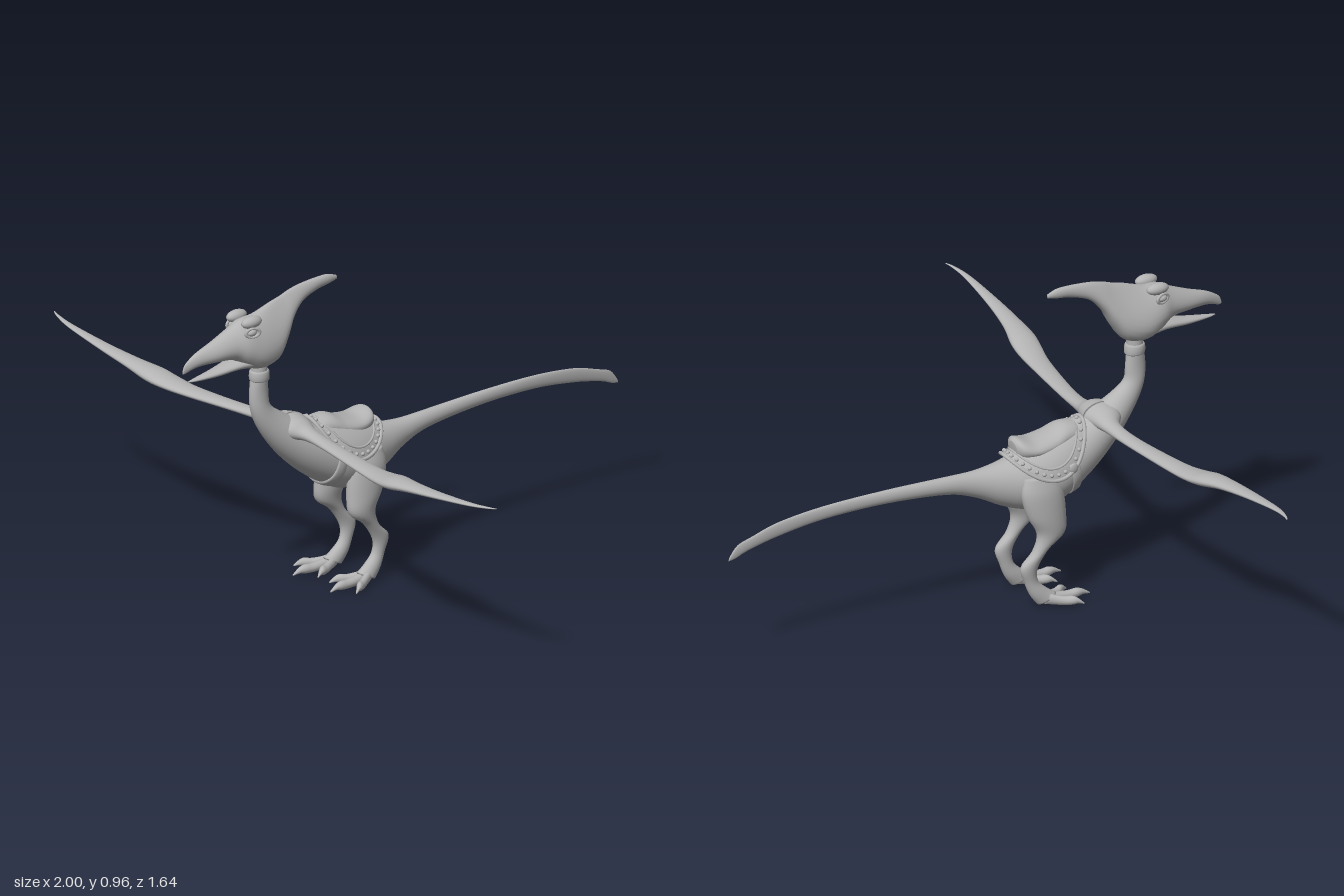
import * as THREE from 'three';
import { ParametricGeometry } from 'three/addons/geometries/ParametricGeometry.js';

const X = new THREE.Vector3(1, 0, 0), Y = new THREE.Vector3(0, 1, 0);

// Smooth skin over elliptical rings. Row: [ax,ay,az, bx,by,bz, halfWidth, taper];
// a and b are opposite points of the ring, dir is the half-width axis.
function loft(rows, dir, seg = 24, sub = 5) {
  const spline = (i, t) => rows[0].map((_, k) => {
    const p = j => rows[Math.min(Math.max(j, 0), rows.length - 1)][k];
    const v0 = (p(i + 1) - p(i - 1)) / 2, v1 = (p(i + 2) - p(i)) / 2;
    return (2 * p(i) - 2 * p(i + 1) + v0 + v1) * t ** 3 +
      (-3 * p(i) + 3 * p(i + 1) - 2 * v0 - v1) * t * t + v0 * t + p(i);
  });
  const rings = [];
  for (let i = 0; i < rows.length - 1; i++)
    for (let j = 0; j < sub; j++) rings.push(spline(i, j / sub));
  rings.push(rows[rows.length - 1]);

  const pos = [], idx = [], n = rings.length;
  const centre = r => new THREE.Vector3(r[0] + r[3], r[1] + r[4], r[2] + r[5]).multiplyScalar(0.5);
  for (const r of rings) {
    const c = centre(r), h = new THREE.Vector3(r[3], r[4], r[5]).sub(c);
    for (let k = 0; k < seg; k++) {
      const t = k / seg * Math.PI * 2;
      const w = Math.max(r[6], 0.001) * Math.sin(t) * (1 - r[7] * Math.cos(t));
      pos.push(...c.clone().addScaledVector(h, Math.cos(t)).addScaledVector(dir, w).toArray());
    }
  }
  pos.push(...centre(rings[0]).toArray(), ...centre(rings[n - 1]).toArray());
  for (let k = 0; k < seg; k++) {
    const m = (k + 1) % seg, e = (n - 1) * seg;
    for (let i = 0; i < n - 1; i++) {
      const a = i * seg + k, b = i * seg + m;
      idx.push(a, b, a + seg, b, b + seg, a + seg);
    }
    idx.push(n * seg, m, k, n * seg + 1, e + k, e + m);
  }
  // turn the faces outward
  const v = i => new THREE.Vector3().fromArray(pos, i * 3);
  let volume = 0;
  for (let i = 0; i < idx.length; i += 3) volume += v(idx[i]).dot(v(idx[i + 1]).cross(v(idx[i + 2])));
  if (volume < 0) idx.reverse();
  const g = new THREE.BufferGeometry();
  g.setAttribute('position', new THREE.Float32BufferAttribute(pos, 3));
  g.setIndex(idx);
  g.computeVertexNormals();
  return g;
}

// Rings in the side plane: [z1,y1, z2,y2, halfWidth, taper, x]
const sideRows = rows => rows.map(([z1, y1, z2, y2, w, k = 0, x = 0]) => [x, y1, z1, x, y2, z2, w, k]);

export function createModel() {
  const model = new THREE.Group();
  const grey = new THREE.MeshStandardMaterial({ color: 0xb4b4b4, side: THREE.DoubleSide });
  grey.name = 'stone grey';
  const add = (name, geometry, parent = model) => {
    const m = new THREE.Mesh(geometry, grey);
    m.name = name;
    parent.add(m);
    return m;
  };
  const ball = (name, p, s, parent) => {
    const m = add(name, new THREE.SphereGeometry(1, 16, 12), parent);
    m.position.set(...p);
    m.scale.set(...s);
    return m;
  };

  // Neck, trunk and tail in one skin
  add('body', loft(sideRows([
    [.56, .79, .50, .79, .022], [.558, .73, .508, .73, .024], [.566, .66, .503, .66, .022],
    [.56, .60, .497, .615, .026], [.53, .535, .46, .583, .036], [.47, .455, .40, .548, .055],
    [.39, .378, .34, .52, .075], [.305, .318, .28, .497, .088], [.24, .288, .215, .478, .09],
    [.15, .29, .15, .463, .078], [.08, .315, .08, .448, .055], [0, .357, 0, .44, .032],
    [-.1, .388, -.1, .442, .021], [-.3, .405, -.3, .447, .013], [-.5, .403, -.5, .444, .008],
    [-.65, .384, -.65, .428, .006], [-.75, .362, -.74, .402, .005],
    [-.795, .345, -.788, .385, .004], [-.818, .341, -.813, .355, .002],
  ]), X, 32));

  // Head with crest and upper beak
  add('headAndCrest', loft(sideRows([
    [.243, .936, .243, .948, .004], [.275, .929, .275, .959, .010], [.32, .922, .32, .96, .013],
    [.38, .90, .38, .956, .018, .3], [.423, .855, .423, .948, .027, .5], [.454, .80, .454, .938, .038, .6],
    [.493, .75, .493, .928, .05, .6], [.555, .74, .555, .908, .06, .4], [.605, .763, .605, .903, .056, .25],
    [.645, .788, .645, .884, .042, .2], [.71, .795, .71, .858, .029, .2],
    [.77, .795, .77, .838, .015, .1], [.81, .785, .81, .815, .005], [.82, .785, .82, .797, .002],
  ]), X, 28));
  add('lowerBeak', loft(sideRows([
    [.55, .74, .55, .79, .045], [.62, .753, .62, .786, .036], [.70, .749, .70, .772, .022],
    [.77, .751, .77, .762, .010], [.80, .755, .80, .758, .002],
  ]), X));

  // Collar around the neck
  add('collar', loft(sideRows([
    [.559, .695, .504, .695, .024], [.564, .70, .501, .70, .028],
    [.564, .722, .502, .722, .028], [.559, .728, .506, .728, .024],
  ]), X, 24, 2));

  // Girth strap around the belly
  add('girthStrap', loft(sideRows([
    [.321, .327, .286, .495, .087], [.319, .319, .284, .50, .0925],
    [.293, .307, .264, .497, .0945], [.291, .315, .262, .49, .088],
  ]), X, 36, 2));

  // Saddle: p is the angle round the cloth, r runs from its centre to its rim
  const onCloth = (p, r, off = 0, out = new THREE.Vector3()) => {
    const z = .225 + .127 * r * Math.cos(p), t = 1.45 * r * Math.sin(p);
    const w = .102 - 1.9 * (z - .235) ** 2 + off, h = .084 + .26 * (z - .1) + off;
    return out.set(w * Math.sin(t), .385 + h * Math.cos(t), z);
  };
  const saddle = new THREE.Group();
  saddle.name = 'saddle';
  model.add(saddle);
  add('saddleCloth', new ParametricGeometry((u, v, o) => onCloth(u * Math.PI * 2, v, 0, o), 64, 14), saddle);
  for (const [name, r, thick] of [['clothRim', 1, .006], ['clothSeam', .78, .0035]]) {
    const pts = Array.from({ length: 48 }, (_, i) => onCloth(i / 48 * Math.PI * 2, r));
    add(name, new THREE.TubeGeometry(new THREE.CatmullRomCurve3(pts, true), 96, thick, 8, true), saddle);
  }
  for (let i = 0; i < 32; i++)
    ball('clothStud', onCloth(i / 32 * Math.PI * 2, .9, .001).toArray(), [.006, .006, .006], saddle);
  add('seat', loft(sideRows([
    [.348, .485, .348, .518, .015], [.325, .47, .325, .529, .042], [.285, .46, .285, .531, .052],
    [.24, .45, .24, .514, .058], [.185, .45, .185, .504, .06], [.15, .45, .138, .515, .05],
    [.13, .46, .124, .505, .026],
  ]), X), saddle);

  // Paired parts, built on the left and mirrored
  for (const s of [1, -1]) {
    const half = new THREE.Group();
    half.name = s > 0 ? 'leftSide' : 'rightSide';
    half.scale.x = s;
    model.add(half);

    // Wing rows: [x, y, trailing z, leading z, half thickness]
    add('wing', loft([
      [.0, .525, .36, .48, .04], [.045, .525, .372, .462, .03], [.09, .517, .385, .437, .018],
      [.2, .512, .395, .445, .012], [.4, .511, .415, .48, .013], [.49, .518, .421, .502, .016],
      [.55, .528, .43, .513, .019], [.63, .541, .452, .513, .014], [.75, .556, .47, .511, .009],
      [.9, .574, .481, .502, .005], [.97, .582, .477, .487, .003], [1, .585, .47, .474, .001],
    ].map(([x, y, a, b, w]) => [x, y, a, x, y, b, w, 0]), Y), half);

    // Leg: thigh, knee, backward shin and heel
    add('leg', loft(sideRows([
      [.13, .41, .23, .41, .022, 0, .066], [.118, .36, .252, .36, .034, 0, .07],
      [.135, .29, .26, .28, .036, 0, .073], [.165, .23, .254, .225, .029, 0, .077],
      [.15, .175, .204, .185, .021, 0, .077], [.112, .133, .168, .128, .018, 0, .075],
      [.125, .083, .168, .085, .016, 0, .073], [.142, .04, .195, .055, .02, 0, .074],
      [.165, .008, .225, .035, .022, 0, .076],
    ]), X, 20), half);

    // Toes ending in claws
    for (const [x, z] of [[.142, .285], [.085, .335], [.026, .29]]) {
      const toe = [[0, .005, .044, .016], [.3, .003, .034, .014], [.55, .003, .03, .014],
        [.72, .005, .032, .013], [.85, .009, .026, .008], [1, .007, .011, .002]];
      add('toe', loft(toe.map(([t, lo, hi, w]) => {
        const px = .077 + (x - .077) * t, pz = .185 + (z - .185) * t;
        return [px, lo, pz, px, hi, pz, w, 0];
      }), X, 14, 4), half);
    }

    // Eye, lid and brow ridge
    ball('eye', [.046, .873, .598], [.011, .011, .016], half);
    const lid = add('eyelid', new THREE.TorusGeometry(.016, .0045, 8, 24), half);
    lid.position.set(.05, .873, .598);
    lid.rotation.y = Math.PI / 2 - .3;
    lid.scale.set(1.3, .85, 1);
    ball('brow', [.034, .9, .59], [.019, .018, .036], half);
    ball('girthBuckle', [.098, .425, .275], [.006, .016, .014], half);
  }
  return model;
}
